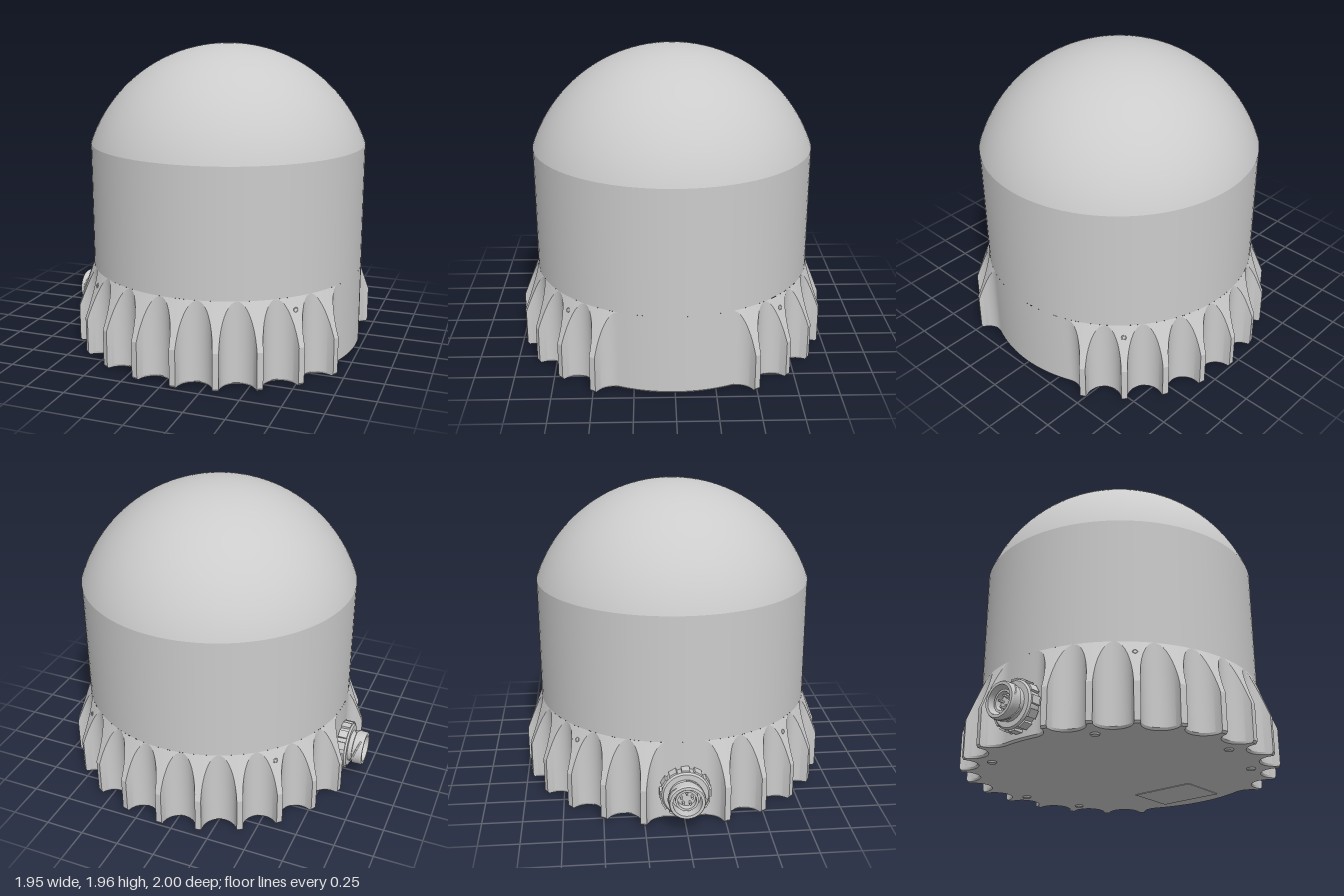
import * as THREE from 'three';
import { toCreasedNormals } from 'three/addons/utils/BufferGeometryUtils.js';

const R = 0.892;          // body radius
const TIP = 1.0;          // fin tip radius
const BASE_TOP = 0.53;    // where the sloped fin tops meet the body
const FIN_TOP = 0.25;     // where the fins start to slope
const rad = THREE.MathUtils.degToRad;
const slopeY = (r) => BASE_TOP - (BASE_TOP - FIN_TOP) * (r - R) / (TIP - R);

const grey = new THREE.MeshStandardMaterial({ color: 0xcccccc });
const greyBoth = new THREE.MeshStandardMaterial({ color: 0xcccccc, side: THREE.DoubleSide });

function add(parent, name, geometry, material = grey) {
  const mesh = new THREE.Mesh(geometry, material);
  mesh.name = name;
  parent.add(mesh);
  return mesh;
}

// Plan outline of the base as [angle, radius]: round flutes every 15 degrees,
// plain round on the +x side and behind the connector on the -x side.
function baseOutline() {
  const a = 0.112, d = R + a, steps = 20, pts = [];
  const tMax = Math.acos((d * d + a * a - TIP * TIP) / (2 * d * a));
  const arc = (from, to) => {
    for (let deg = from; deg < to - 0.01; deg += 2.5) pts.push([rad(deg), R]);
  };
  const flute = (k, t0, t1) => {
    const n = t0 === 0 || t1 === 0 ? steps / 2 : steps;
    for (let i = 0; i <= n; i++) {
      const t = (t0 + (t1 - t0) * i / n) * tMax;
      const u = d - a * Math.cos(t), v = a * Math.sin(t);
      pts.push([rad(7.5 + 15 * k) + Math.atan2(v, u), Math.hypot(u, v)]);
    }
  };
  arc(0, 22.5);
  for (let k = 1; k <= 22; k++) {
    flute(k, k === 1 || k === 12 ? 0 : -1, k === 11 || k === 22 ? 0 : 1);
    if (k === 11) arc(175, 187.5);
  }
  arc(340, 360);
  return pts;
}

// Walls rise from the outline to the sloped top, so each flute ends in an arch
function baseGeometry() {
  const columns = baseOutline().map(([ang, r]) =>
    [[r - 0.01, 0.01], [r, 0.024], [r, slopeY(r)], [R, BASE_TOP]].map(([q, y]) =>
      new THREE.Vector3(q * Math.cos(ang), y, q * Math.sin(ang))));
  const center = new THREE.Vector3(0, 0.01, 0);
  const tris = [];
  columns.forEach((p, i) => {
    const q = columns[(i + 1) % columns.length];
    tris.push(center, p[0], q[0]);
    for (let j = 0; j < 3; j++) {
      if (j === 2 && p[2].distanceTo(p[3]) + q[2].distanceTo(q[3]) < 1e-4) continue;
      tris.push(p[j], p[j + 1], q[j + 1], p[j], q[j + 1], q[j]);
    }
  });
  return toCreasedNormals(new THREE.BufferGeometry().setFromPoints(tris), 0.25);
}

function lathe(points, segments = 48) {
  const g = new THREE.LatheGeometry(points.map(([x, y]) => new THREE.Vector2(x, y)), segments);
  return toCreasedNormals(g, 0.5);
}

// Round cable connector, built along +y and then turned to point along -x
function connector() {
  const group = new THREE.Group();
  group.name = 'connector';
  add(group, 'connectorNut', lathe([[0, -0.03], [0.14, -0.03], [0.148, 0.06], [0.138, 0.072], [0.1, 0.072]], 32));
  for (let i = 0; i < 12; i++) {
    const ang = i * Math.PI / 6;
    const rib = add(group, 'nutRib', new THREE.BoxGeometry(0.022, 0.06, 0.05));
    rib.position.set(0.147 * Math.cos(ang), 0.03, 0.147 * Math.sin(ang));
    rib.rotation.y = -ang;
  }
  add(group, 'connectorBarrel', lathe([[0.104, 0.05], [0.104, 0.1], [0.112, 0.104], [0.112, 0.16],
    [0.106, 0.17], [0.088, 0.17], [0.088, 0.09], [0, 0.09]]), greyBoth);
  add(group, 'connectorInsert', lathe([[0.07, 0.09], [0.07, 0.14], [0.056, 0.14], [0.056, 0.1], [0, 0.1]]), greyBoth);
  // Three slanted bayonet ramps
  for (let i = 0; i < 3; i++) {
    const path = [];
    for (let j = 0; j <= 10; j++) {
      const ang = i * Math.PI * 2 / 3 + j * 0.15;
      path.push(new THREE.Vector3(0.11 * Math.cos(ang), 0.095 + j * 0.0055, 0.11 * Math.sin(ang)));
    }
    add(group, 'bayonetRamp', new THREE.TubeGeometry(new THREE.CatmullRomCurve3(path), 20, 0.006, 6));
  }
  // Contact pins
  for (let i = 0; i < 5; i++) {
    const ang = i * Math.PI * 2 / 5;
    add(group, 'contactPin', new THREE.CylinderGeometry(0.007, 0.007, 0.04, 8))
      .position.set(0.035 * Math.cos(ang), 0.115, 0.035 * Math.sin(ang));
  }
  group.rotation.z = Math.PI / 2;
  group.position.set(-R, 0.21, 0);
  return group;
}

export function createModel() {
  const model = new THREE.Group();
  model.name = 'domedHousing';
  const body = new THREE.Group();
  body.name = 'body';
  body.position.x = 0.083;
  model.add(body);

  add(body, 'finnedBase', baseGeometry());

  // Cylinder wall and spherical cap
  const wallTop = 1.33, top = 1.96, h = top - wallTop;
  const wall = add(body, 'cylinderWall', new THREE.CylinderGeometry(R, R, wallTop - BASE_TOP, 96, 1, true));
  wall.position.y = (wallTop + BASE_TOP) / 2;
  const capR = (R * R + h * h) / (2 * h);
  const dome = add(body, 'dome', new THREE.SphereGeometry(capR, 96, 28, 0, Math.PI * 2, 0,
    Math.acos((capR - h) / capR)));
  dome.position.y = top - capR;

  // Small screw sockets in the sloped tops of the four diagonal fins
  const slope = Math.atan2(BASE_TOP - FIN_TOP, TIP - R);
  for (const deg of [45, 135, 225, 315]) {
    const pivot = new THREE.Group();
    pivot.name = 'finScrew';
    pivot.rotation.y = -rad(deg);
    const socket = new THREE.Group();
    socket.position.set(0.92, slopeY(0.92), 0);
    socket.rotation.z = -slope;
    add(socket, 'socketRim', new THREE.TorusGeometry(0.013, 0.003, 6, 20)).rotation.x = Math.PI / 2;
    pivot.add(socket);
    body.add(pivot);
  }

  // Underside screws
  for (const deg of [60, 90, 150, 210, 270, 300]) {
    add(body, 'bottomScrew', new THREE.CylinderGeometry(0.03, 0.024, 0.012, 20))
      .position.set(0.82 * Math.cos(rad(deg)), 0.006, 0.82 * Math.sin(rad(deg)));
  }

  // Thin blank plate on the underside
  add(body, 'bottomPlate', new THREE.BoxGeometry(0.33, 0.006, 0.44)).position.set(0.6, 0.009, 0);

  body.add(connector());
  return model;
}
